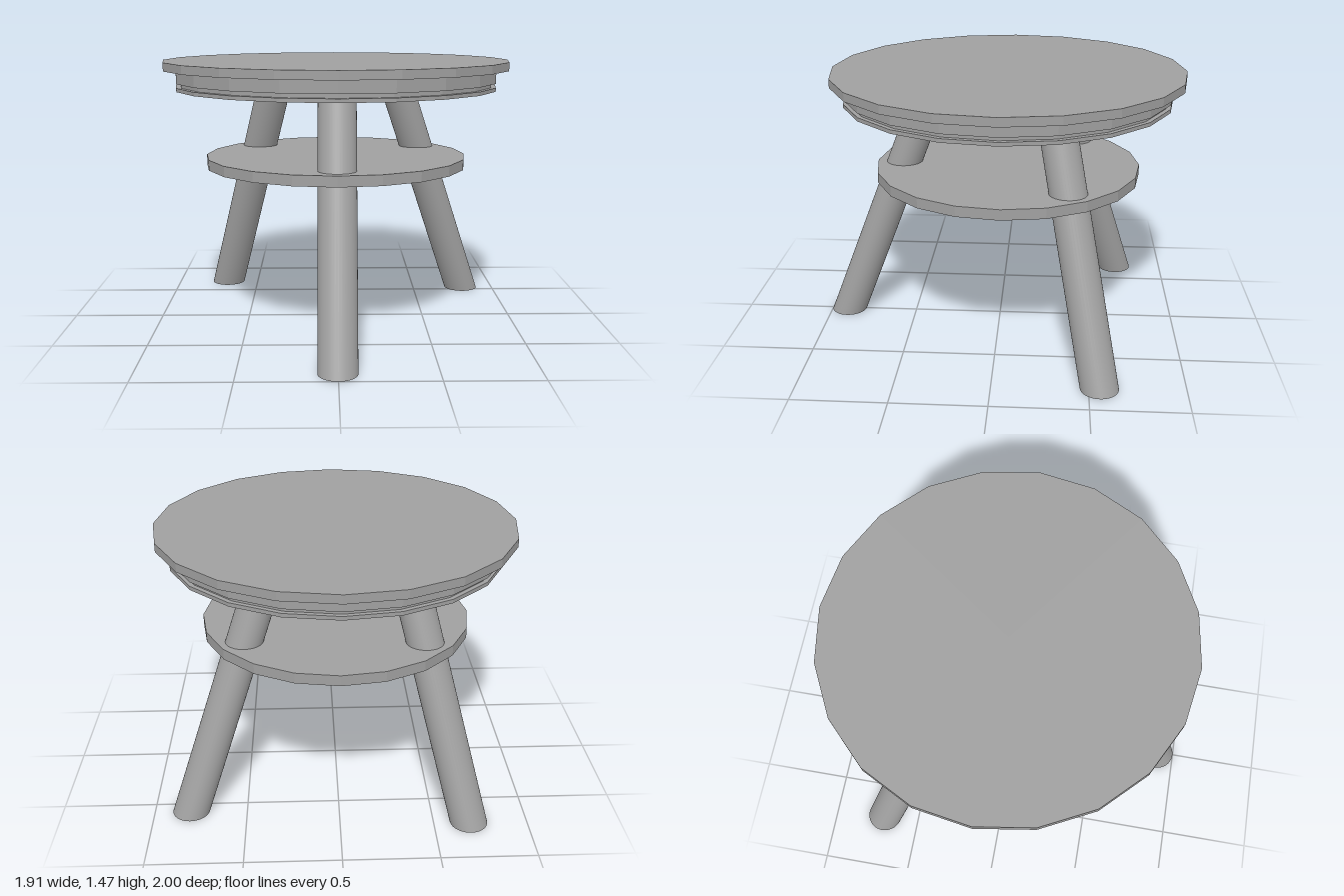
import * as THREE from 'three';

const SIDES = 20;
const CENTRE_Z = -0.043;
const LEG_TOP = 1.32;

// Faceted disc turned from a [radius, height] outline, listed bottom to top
function turnedDisc(name, outline, material) {
  const points = outline.map(([r, y]) => new THREE.Vector2(r, y));
  const geometry = new THREE.LatheGeometry(points, SIDES).toNonIndexed();
  geometry.computeVertexNormals();
  const mesh = new THREE.Mesh(geometry, material);
  mesh.name = name;
  mesh.position.z = CENTRE_Z;
  return mesh;
}

// Round leg slanted by a shear, so both ends stay level circles
function slantedLeg(name, [x0, z0], [x1, z1], material) {
  const geometry = new THREE.CylinderGeometry(0.1, 0.1, LEG_TOP, 40);
  geometry.translate(0, LEG_TOP / 2, 0);
  geometry.applyMatrix4(new THREE.Matrix4().set(
    1, (x1 - x0) / LEG_TOP, 0, x0,
    0, 1, 0, 0,
    0, (z1 - z0) / LEG_TOP, 1, z0,
    0, 0, 0, 1
  ));
  const mesh = new THREE.Mesh(geometry, material);
  mesh.name = name;
  return mesh;
}

export function createModel() {
  const group = new THREE.Group();
  group.name = 'stool';
  const grey = new THREE.MeshStandardMaterial({ color: 0xa0a0a0 });
  grey.name = 'grey';

  // Seat: overhanging top, apron, thin groove and bottom lip
  group.add(turnedDisc('seat', [
    [0, 1.31], [0.89, 1.31], [0.89, 1.33], [0.865, 1.33], [0.865, 1.352],
    [0.89, 1.352], [0.89, 1.42], [0.957, 1.42], [0.957, 1.466], [0, 1.466]
  ], grey));

  // Shelf joining the legs
  group.add(turnedDisc('shelf', [[0, 0.88], [0.727, 0.88], [0.727, 0.937], [0, 0.937]], grey));

  // Three splayed legs: foot and top as [x, z]
  group.add(
    slantedLeg('frontLeg', [-0.002, 0.9], [0.002, 0.385], grey),
    slantedLeg('backRightLeg', [-0.688, -0.706], [-0.352, -0.302], grey),
    slantedLeg('backLeftLeg', [0.803, -0.555], [0.355, -0.302], grey)
  );
  return group;
}
